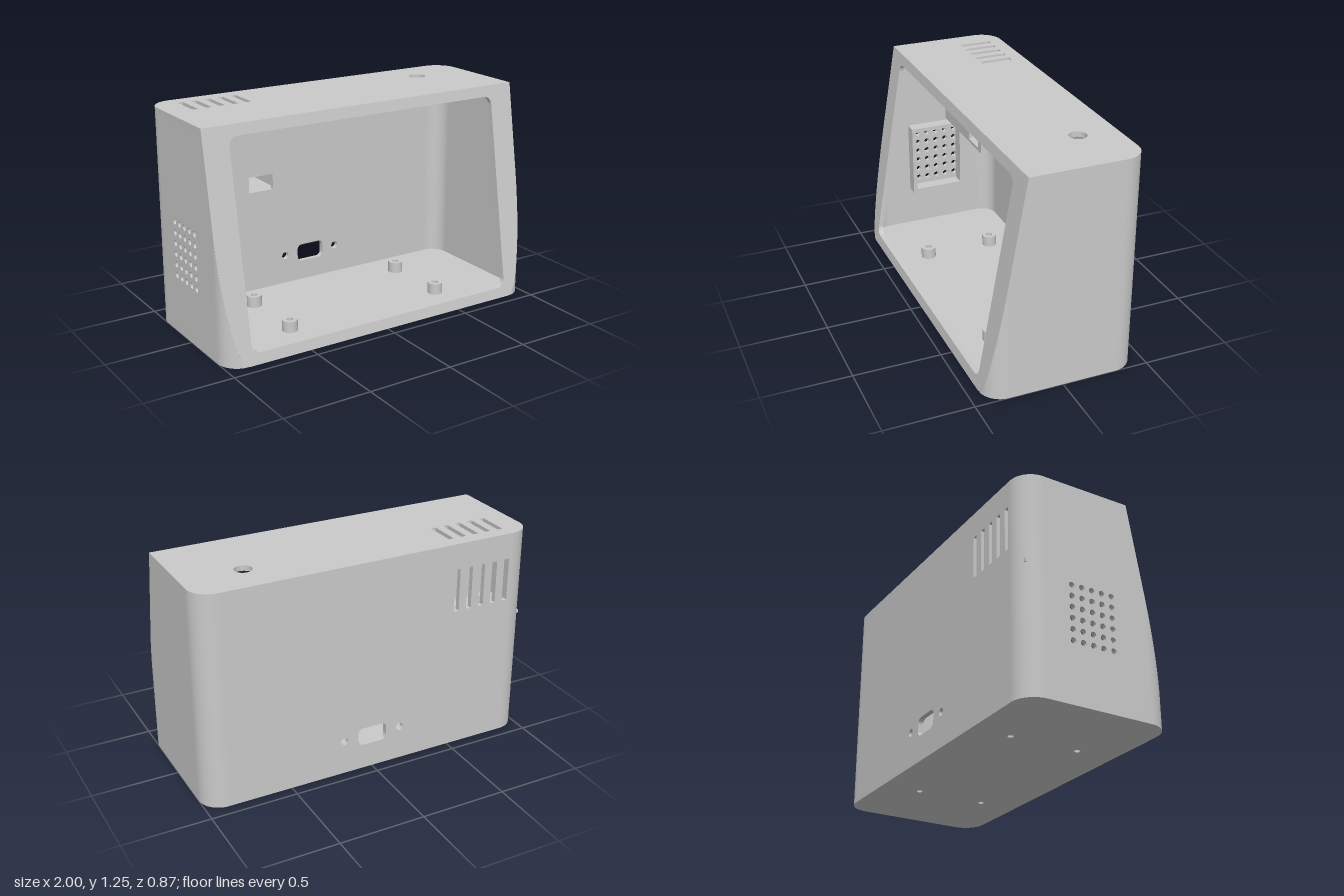
import * as THREE from 'three';
import { toCreasedNormals } from 'three/addons/utils/BufferGeometryUtils.js';

const H = 1.25, T = 0.03, W = 1, D = 0.435, R = 0.125, SLOPE = 0.172;
const LOW = T, HIGH = H - T;
const frontZ = (y) => D - SLOPE * y; // slanted front plane
const shellZ = (y) => frontZ(y) - 0.003; // shell ends just behind the bezel face
const shellY = (z) => (D - 0.003 - z) / SLOPE;

const rectPath = (x0, y0, x1, y1, r, Type = THREE.Path) => {
  const p = new Type();
  if (!r) {
    p.moveTo(x0, y0); p.lineTo(x1, y0); p.lineTo(x1, y1); p.lineTo(x0, y1);
  } else {
    p.absarc(x1 - r, y0 + r, r, -Math.PI / 2, 0);
    p.absarc(x1 - r, y1 - r, r, 0, Math.PI / 2);
    p.absarc(x0 + r, y1 - r, r, Math.PI / 2, Math.PI);
    p.absarc(x0 + r, y0 + r, r, Math.PI, Math.PI * 1.5);
  }
  p.closePath();
  return p;
};
const circle = (x, y, r) => new THREE.Path().absarc(x, y, r, 0, Math.PI * 2);
const polygon = (pts) => new THREE.Shape(pts.map(([x, y]) => new THREE.Vector2(x, y)));
const extrude = (shape, depth) =>
  new THREE.ExtrudeGeometry(shape, { depth, bevelEnabled: false, curveSegments: 12 });

// Horizontal slab: the shape's y becomes z
const slab = (shape, y0, y1) => extrude(shape, y1 - y0).rotateX(Math.PI / 2).translate(0, y1, 0);

// Move every vertex by a rule
const reshape = (geo, rule) => {
  const p = geo.attributes.position, v = new THREE.Vector3();
  for (let i = 0; i < p.count; i++) {
    v.fromBufferAttribute(p, i);
    rule(v);
    p.setXYZ(i, v.x, v.y, v.z);
  }
  geo.computeVertexNormals();
  return geo;
};

export function createModel() {
  const model = new THREE.Group();
  const grey = new THREE.MeshStandardMaterial({ color: 0xcacaca, side: THREE.DoubleSide });
  grey.name = 'grey plastic';
  const add = (name, geo, x = 0, y = 0, z = 0) => {
    const mesh = new THREE.Mesh(toCreasedNormals(geo, 0.5), grey);
    mesh.name = name;
    mesh.position.set(x, y, z);
    model.add(mesh);
  };
  const slotXs = [0, 1, 2, 3, 4].map((i) => -0.842 + i * 0.08);
  const feet = [-0.5, 0.5].flatMap((x) => [-0.205, 0.205].map((z) => [x, z]));

  // Floor with screw holes
  const floor = rectPath(-W, -D, W, D, R, THREE.Shape);
  feet.forEach(([x, z]) => floor.holes.push(circle(x, z, 0.017)));
  add('floor', reshape(slab(floor, 0, T), (v) => { v.z = Math.min(v.z, shellZ(v.y)); }));

  // Top panel with vents and a button hole
  const top = new THREE.Shape();
  top.moveTo(W, shellZ(H));
  top.lineTo(-W, shellZ(H));
  top.absarc(-W + R, -D + R, R, Math.PI, Math.PI * 1.5);
  top.absarc(W - R, -D + R, R, Math.PI * 1.5, Math.PI * 2);
  top.closePath();
  slotXs.forEach((x) => top.holes.push(rectPath(x - 0.016, -0.352, x + 0.016, -0.165)));
  top.holes.push(circle(0.648, -0.215, 0.049));
  add('topPanel', reshape(slab(top, HIGH, H), (v) => { if (v.z > 0.2) v.z = shellZ(v.y); }));

  // Back wall with vents, port and screw holes
  const back = rectPath(-W + R, LOW, W - R, HIGH, 0, THREE.Shape);
  slotXs.forEach((x) => back.holes.push(rectPath(x - 0.016, 0.85, x + 0.016, 1.1)));
  back.holes.push(rectPath(-0.088, 0.15, 0.088, 0.256, 0.03));
  [-0.175, 0.175].forEach((x) => back.holes.push(circle(x, 0.204, 0.022)));
  add('backWall', extrude(back, T), 0, 0, -D);

  // Side walls; the right one has a speaker grille
  for (const s of [-1, 1]) {
    const zc = D - R;
    const side = polygon([[zc, LOW], [zc, HIGH], [-shellZ(HIGH), HIGH], [-zc, shellY(zc)], [-zc, LOW]]);
    if (s < 0) {
      for (let c = 0; c < 5; c++) {
        for (let r = 0; r < 6; r++) {
          side.holes.push(circle(0.15 - c * 0.061, 0.345 + r * 0.062, 0.017));
        }
      }
    }
    add(s < 0 ? 'rightWall' : 'leftWall', extrude(side, T).rotateY(Math.PI / 2), s < 0 ? -W : W - T);
  }

  // Rounded corner posts, the front ones cut by the slanted plane
  for (const sx of [-1, 1]) {
    for (const sz of [-1, 1]) {
      const pts = [];
      for (const [r, inner] of [[R, false], [R - T, true]]) {
        for (let i = 0; i <= 12; i++) {
          const a = ((inner ? 12 - i : i) / 12) * Math.PI / 2;
          pts.push([sx * (W - R + r * Math.cos(a)), sz * (D - R + r * Math.sin(a))]);
        }
      }
      add(sz > 0 ? 'frontCorner' : 'backCorner', reshape(slab(polygon(pts), LOW, HIGH), (v) => {
        if (sz < 0) return;
        if (v.y > 0.5) v.y = Math.max(LOW, shellY(v.z));
        v.z = Math.min(v.z, shellZ(v.y));
      }));
    }
  }

  // Slanted front bezel following the cut outline
  const half = [];
  for (let i = 0; i <= 14; i++) {
    const a = Math.PI / 2 * (1 - i / 14);
    half.push([W - R + R * Math.cos(a), R * (1 - Math.sin(a)) / SLOPE]);
  }
  half.push([W, H]);
  const bezel = polygon([...half, ...half.map(([x, y]) => [-x, y]).reverse()]);
  bezel.holes.push(rectPath(-0.852, 0.062, 0.852, 1.188, 0.05));
  add('frontBezel', reshape(extrude(bezel, 0.03), (v) => { v.z += frontZ(v.y) - 0.03; }));

  // Floor standoffs
  const standoff = (r, hole, h) => new THREE.LatheGeometry(
    [[hole, 0], [r, 0], [r, h], [hole, h], [hole, 0]].map(([x, y]) => new THREE.Vector2(x, y)), 24);
  feet.forEach(([x, z]) => add('floorStandoff', standoff(0.044, 0.02, 0.065), x, T, z));

  // Vent compartment hanging in the upper rear corner
  const x0 = -W + T, x1 = -0.377, y0 = 0.732, z0 = -D + T, z1 = -0.1;
  const front = rectPath(x0, y0, x1, HIGH, 0, THREE.Shape);
  front.holes.push(rectPath(-0.57, 0.752, -0.42, 0.84));
  add('compartmentFront', extrude(front, 0.02), 0, 0, z1 - 0.02);
  const depth = z1 - 0.02 - z0, zMid = z0 + depth / 2;
  add('compartmentSide', new THREE.BoxGeometry(0.02, HIGH - y0, depth), x1 - 0.01, (HIGH + y0) / 2, zMid);
  add('compartmentFloor', new THREE.BoxGeometry(x1 - x0 - 0.02, 0.02, depth), (x0 + x1 - 0.02) / 2, y0 + 0.01, zMid);
  [-0.555, -0.815].forEach((x) => add('compartmentStandoff', standoff(0.03, 0.012, 0.048), x, y0 + 0.02, -0.2));

  // Speaker holder rim around the grille
  const rim = rectPath(-0.155, 0.275, 0.19, 0.72, 0, THREE.Shape);
  rim.holes.push(rectPath(-0.13, 0.3, 0.165, 0.695));
  add('speakerRim', extrude(rim, 0.075).rotateY(Math.PI / 2), -W + T);

  return model;
}
